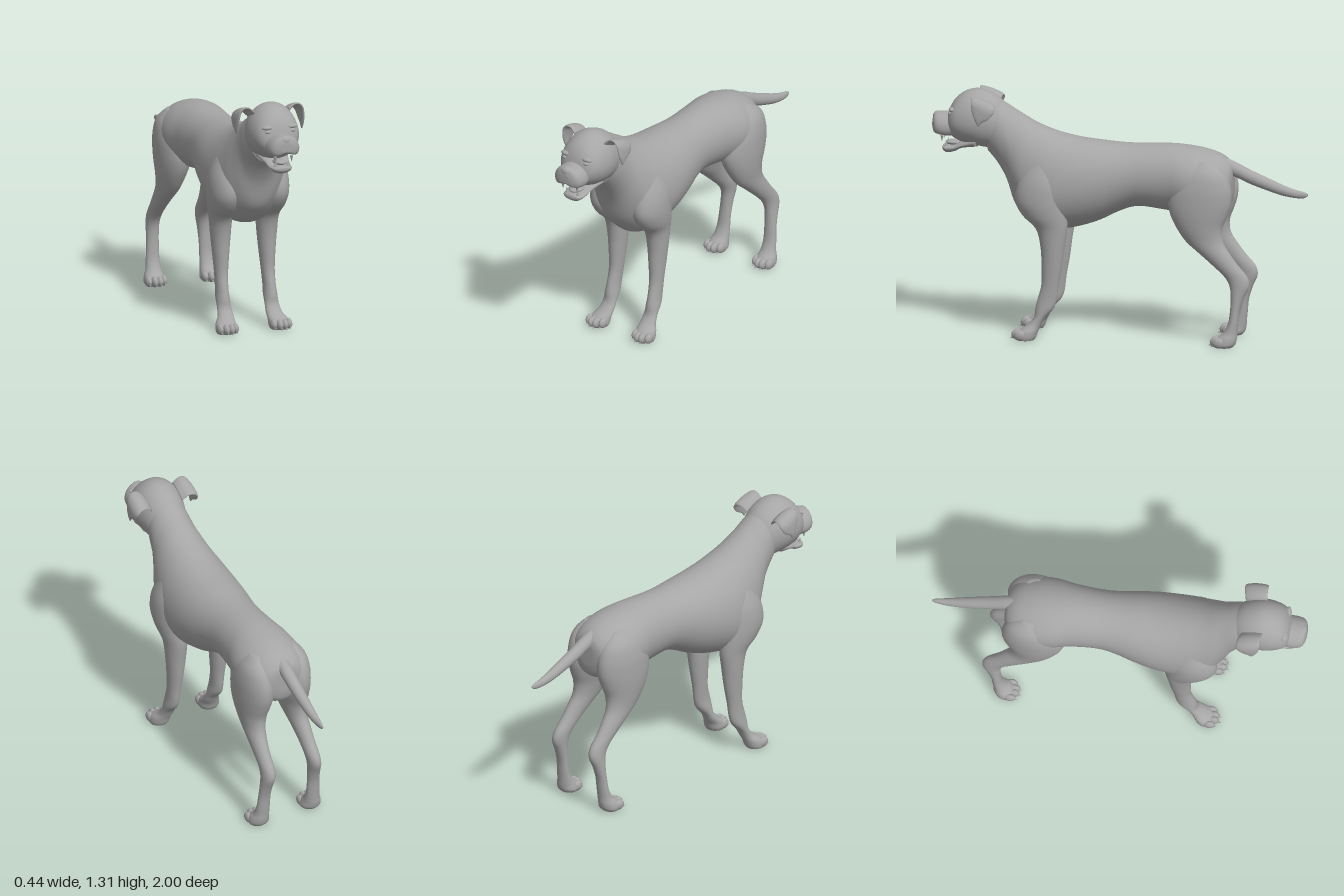
import * as THREE from 'three';

const coat = new THREE.MeshStandardMaterial({ color: 0xa6a6a6 });
coat.name = 'grey coat';

// Smoothly interpolates rows of numbers, with extra rows between each pair
function refine(rows, steps = 4) {
  const out = [];
  const at = (i) => rows[Math.max(0, Math.min(rows.length - 1, i))];
  for (let i = 0; i < rows.length - 1; i++) {
    for (let s = 0; s < steps; s++) {
      const t = s / steps;
      out.push(rows[i].map((p1, k) => {
        const p0 = at(i - 1)[k], p2 = at(i + 1)[k], p3 = at(i + 2)[k];
        return p1 + 0.5 * t * (p2 - p0 + t * (2 * p0 - 5 * p1 + 4 * p2 - p3 + t * (3 * (p1 - p2) + p3 - p0)));
      }));
    }
  }
  out.push(rows[rows.length - 1]);
  return out;
}

// Closed skin through rings; ring(row, cos, sin) gives a point of the section
function loft(name, rows, ring, segs = 36) {
  const fine = refine(rows);
  const pos = [], idx = [];
  for (const row of fine) {
    for (let j = 0; j < segs; j++) {
      const a = (j / segs) * Math.PI * 2;
      pos.push(...ring(row, Math.cos(a), Math.sin(a)));
    }
  }
  const n = fine.length;
  for (let i = 0; i < n - 1; i++) {
    for (let j = 0; j < segs; j++) {
      const k = (j + 1) % segs;
      const a = i * segs + j, b = i * segs + k, c = a + segs, d = b + segs;
      idx.push(a, b, d, a, d, c);
    }
  }
  // end caps
  for (const first of [0, (n - 1) * segs]) {
    const centre = [0, 0, 0];
    for (let j = 0; j < segs; j++) for (let k = 0; k < 3; k++) centre[k] += pos[(first + j) * 3 + k] / segs;
    const c = pos.length / 3;
    pos.push(...centre);
    for (let j = 0; j < segs; j++) {
      const a = first + j, b = first + ((j + 1) % segs);
      if (first === 0) idx.push(c, b, a); else idx.push(c, a, b);
    }
  }
  // turn the faces outward, judged by the signed volume
  const v = (i) => new THREE.Vector3().fromArray(pos, i * 3);
  let volume = 0;
  for (let i = 0; i < idx.length; i += 3) volume += v(idx[i]).dot(v(idx[i + 1]).cross(v(idx[i + 2])));
  if (volume < 0) idx.reverse();
  const geo = new THREE.BufferGeometry();
  geo.setAttribute('position', new THREE.Float32BufferAttribute(pos, 3));
  geo.setIndex(idx);
  geo.computeVertexNormals();
  const mesh = new THREE.Mesh(geo, coat);
  mesh.name = name;
  return mesh;
}

// Upright sections: [z, top, bottom, half width, height of widest point, arch below]
const upright = (name, rows) => loft(name, rows, ([z, top, bot, w, mid, arch = 0], c, s) =>
  [w * c, s > 0 ? mid + s * (top - mid) : mid + s * (mid - bot) + arch * s ** 4, z]);

// Level sections for limbs: [y, front z, back z, inner x, outer x]
const limb = (name, rows, side) => loft(name, rows, ([y, zf, zb, xi, xo], c, s) =>
  [side * ((xi + xo) / 2 + c * (xo - xi) / 2), y, (zf + zb) / 2 + s * (zf - zb) / 2], 28);

function blob(name, x, y, z, rx, ry, rz) {
  const mesh = new THREE.Mesh(new THREE.SphereGeometry(1, 20, 14), coat);
  mesh.name = name;
  mesh.position.set(x, y, z);
  mesh.scale.set(rx, ry, rz);
  return mesh;
}

function spike(name, x, y, z, r, h, tilt) {
  const mesh = new THREE.Mesh(new THREE.ConeGeometry(r, h, 10), coat);
  mesh.name = name;
  mesh.position.set(x, y, z);
  mesh.rotation.x = tilt;
  return mesh;
}

// Four toes with claws
function toes(group, x, z, side) {
  for (let i = 0; i < 4; i++) {
    const off = (i - 1.5) * 0.028;
    const tz = z - (i === 0 || i === 3 ? 0.018 : 0);
    group.add(blob('toe', side * (x + off), 0.03, tz, 0.018, 0.028, 0.032));
    group.add(spike('claw', side * (x + off), 0.014, tz + 0.03, 0.007, 0.026, 1.9));
  }
}

export function createModel() {
  const dog = new THREE.Group();
  dog.name = 'dog';

  dog.add(upright('torsoAndNeck', [
    [-0.605, 0.93, 0.80, 0.05, 0.87], [-0.59, 0.965, 0.74, 0.11, 0.86], [-0.54, 1.005, 0.71, 0.155, 0.86],
    [-0.45, 1.035, 0.69, 0.185, 0.86], [-0.35, 1.05, 0.69, 0.185, 0.87], [-0.25, 1.055, 0.70, 0.165, 0.88],
    [-0.1, 1.05, 0.715, 0.155, 0.88], [0, 1.052, 0.685, 0.165, 0.87], [0.1, 1.06, 0.635, 0.185, 0.85],
    [0.2, 1.07, 0.60, 0.2, 0.83], [0.3, 1.09, 0.578, 0.205, 0.81], [0.38, 1.115, 0.568, 0.2, 0.81],
    [0.45, 1.145, 0.59, 0.185, 0.83], [0.51, 1.18, 0.645, 0.165, 0.88], [0.56, 1.21, 0.71, 0.14, 0.97],
    [0.6, 1.235, 0.83, 0.125, 1.05], [0.65, 1.265, 0.92, 0.115, 1.1], [0.7, 1.285, 0.98, 0.1, 1.13],
  ]));

  dog.add(upright('tail', [
    [-0.55, 0.995, 0.91, 0.036, 0.955], [-0.62, 0.965, 0.885, 0.035, 0.925], [-0.7, 0.925, 0.85, 0.033, 0.888],
    [-0.78, 0.89, 0.822, 0.03, 0.856], [-0.86, 0.855, 0.797, 0.025, 0.826], [-0.93, 0.83, 0.785, 0.018, 0.807],
    [-0.98, 0.818, 0.785, 0.01, 0.802], [-1, 0.808, 0.798, 0.003, 0.803],
  ]));

  // Head
  const head = new THREE.Group();
  head.name = 'head';
  dog.add(head);
  head.add(upright('skull', [
    [0.58, 1.2, 0.98, 0.06, 1.1], [0.64, 1.265, 0.99, 0.105, 1.13], [0.7, 1.3, 1.0, 0.125, 1.15],
    [0.76, 1.315, 1.01, 0.135, 1.15], [0.82, 1.303, 1.02, 0.13, 1.15], [0.87, 1.268, 1.04, 0.115, 1.15],
    [0.9, 1.225, 1.06, 0.09, 1.14], [0.915, 1.18, 1.08, 0.06, 1.13],
  ]));
  head.add(upright('muzzle', [
    [0.84, 1.17, 1.06, 0.075, 1.11, 0], [0.89, 1.185, 1.045, 0.085, 1.11, 0.02],
    [0.93, 1.185, 1.04, 0.088, 1.105, 0.04], [0.97, 1.185, 1.045, 0.08, 1.11, 0.045],
    [0.99, 1.178, 1.06, 0.06, 1.115, 0.03], [1, 1.15, 1.09, 0.03, 1.12, 0.01],
  ]));
  head.add(upright('lowerJaw', [
    [0.76, 1.08, 1.005, 0.09, 1.04], [0.84, 1.04, 0.995, 0.068, 1.015], [0.88, 1.015, 0.975, 0.062, 1.0],
    [0.92, 1.01, 0.966, 0.056, 0.995], [0.94, 1.01, 0.975, 0.045, 0.995], [0.948, 1.0, 0.985, 0.02, 0.993],
  ]));
  head.add(blob('tongue', 0, 1.022, 0.885, 0.035, 0.015, 0.05));
  head.add(blob('nose', 0, 1.16, 0.98, 0.034, 0.025, 0.02));

  for (const side of [1, -1]) {
    head.add(blob('eye', side * 0.068, 1.19, 0.897, 0.016, 0.011, 0.012));
    head.add(blob('brow', side * 0.066, 1.211, 0.887, 0.034, 0.013, 0.018));
    head.add(spike('lowerFang', side * 0.036, 1.022, 0.925, 0.008, 0.032, 0));
    head.add(spike('upperFang', side * 0.046, 1.048, 0.945, 0.009, 0.035, Math.PI));

    // Folded ear: front edge, back edge, thickness direction
    head.add(loft('ear', [
      [0.095, 1.265, 0.775, 0.09, 1.22, 0.66, 0, 0.02],
      [0.125, 1.292, 0.77, 0.125, 1.25, 0.65, 0, 0.012],
      [0.155, 1.293, 0.77, 0.16, 1.25, 0.645, 0.008, 0.009],
      [0.175, 1.27, 0.77, 0.18, 1.225, 0.648, 0.012, 0.003],
      [0.183, 1.22, 0.762, 0.185, 1.19, 0.675, 0.01, 0],
      [0.184, 1.175, 0.745, 0.184, 1.17, 0.71, 0.008, 0],
      [0.183, 1.15, 0.732, 0.183, 1.15, 0.725, 0.003, 0],
    ], ([xf, yf, zf, xb, yb, zb, tx, ty], c, s) => [
      side * ((xf + xb) / 2 + c * (xf - xb) / 2 + s * tx),
      (yf + yb) / 2 + c * (yf - yb) / 2 + s * ty,
      (zf + zb) / 2 + c * (zf - zb) / 2,
    ], 20));

    // Front leg with shoulder
    dog.add(limb('frontLeg', [
      [1.02, 0.43, 0.37, 0.1, 0.14], [0.95, 0.48, 0.32, 0.06, 0.175], [0.85, 0.525, 0.28, 0.05, 0.212],
      [0.75, 0.54, 0.27, 0.05, 0.22], [0.67, 0.5, 0.262, 0.055, 0.21], [0.6, 0.43, 0.262, 0.07, 0.192],
      [0.5, 0.405, 0.277, 0.077, 0.183], [0.4, 0.4, 0.29, 0.086, 0.174], [0.3, 0.4, 0.308, 0.095, 0.167],
      [0.22, 0.42, 0.318, 0.1, 0.166], [0.17, 0.432, 0.335, 0.097, 0.17], [0.12, 0.44, 0.378, 0.095, 0.172],
      [0.08, 0.475, 0.4, 0.092, 0.18], [0.05, 0.52, 0.415, 0.092, 0.2], [0.02, 0.535, 0.425, 0.092, 0.205],
      [0.003, 0.53, 0.435, 0.1, 0.2],
    ], side));
    toes(dog, 0.15, 0.523, side);

    // Hind leg with thigh and hock
    dog.add(limb('hindLeg', [
      [0.99, -0.42, -0.5, 0.08, 0.13], [0.93, -0.35, -0.575, 0.04, 0.18], [0.85, -0.29, -0.608, 0.02, 0.2],
      [0.77, -0.272, -0.61, 0.018, 0.203], [0.7, -0.285, -0.59, 0.03, 0.2], [0.63, -0.32, -0.565, 0.05, 0.192],
      [0.56, -0.37, -0.57, 0.07, 0.182], [0.5, -0.44, -0.605, 0.085, 0.178], [0.44, -0.51, -0.65, 0.095, 0.174],
      [0.38, -0.575, -0.7, 0.1, 0.172], [0.33, -0.605, -0.71, 0.105, 0.174], [0.27, -0.613, -0.685, 0.11, 0.178],
      [0.2, -0.61, -0.663, 0.113, 0.182], [0.13, -0.6, -0.655, 0.113, 0.188], [0.08, -0.575, -0.65, 0.11, 0.195],
      [0.05, -0.54, -0.648, 0.105, 0.208], [0.02, -0.53, -0.64, 0.1, 0.213], [0.003, -0.535, -0.625, 0.11, 0.205],
    ], side));
    toes(dog, 0.158, -0.538, side);
  }

  return dog;
}
